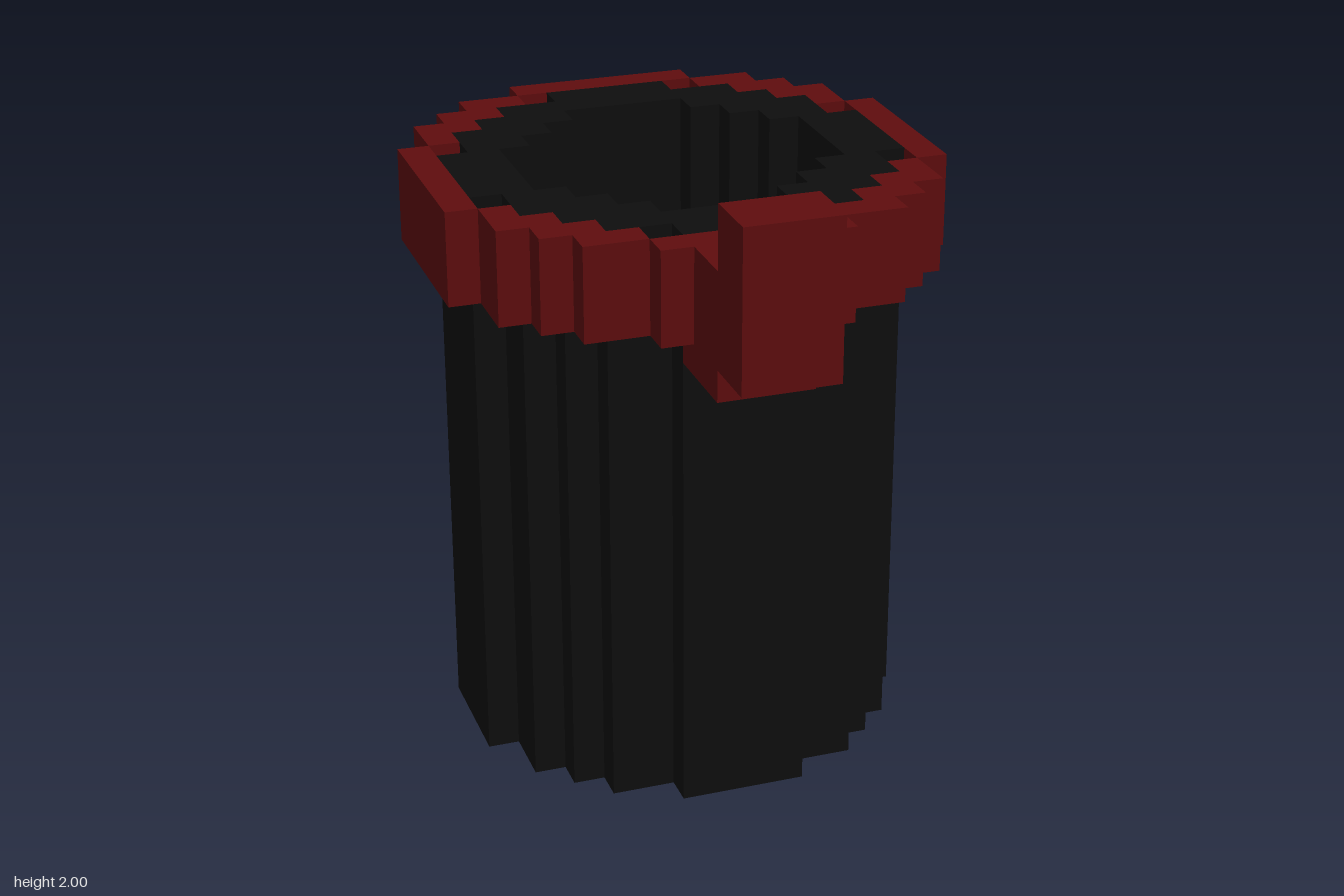
import * as THREE from 'three';

const U = 2 / 21; // one block
const CENTRE_Z = -2 * U; // axis of the tube

const black = new THREE.MeshStandardMaterial({ name: 'black', color: 0x0e0e0e });
const red = new THREE.MeshStandardMaterial({ name: 'darkRed', color: 0x5f0d0e });

// Stepped corner outlines in blocks, first quadrant, from the z side to the x side
const OUTER = [[2, 7], [2, 6], [4, 6], [4, 5], [5, 5], [5, 4], [6, 4], [6, 2], [7, 2]];
const INNER = [[2, 5], [2, 4], [3, 4], [3, 3], [4, 3], [4, 2], [5, 2]];
const RIM_CORNER = [[3, 7], [5, 7], [5, 6], [6, 6], [6, 5], [7, 5], [7, 3],
  [6, 3], [6, 4], [5, 4], [5, 5], [4, 5], [4, 6], [3, 6]];

const toPoints = (list) => list.map(([x, y]) => new THREE.Vector2(x * U, y * U));

// Mirrors a quadrant outline into a closed counter-clockwise loop
function fullLoop(quadrant) {
  const back = [...quadrant].reverse();
  return toPoints([
    ...back,
    ...quadrant.map(([x, y]) => [-x, y]),
    ...back.map(([x, y]) => [-x, -y]),
    ...quadrant.map(([x, y]) => [x, -y]),
  ]);
}

// Extrudes a plan shape upward between two heights
function prism(name, shape, y0, y1, material) {
  const geometry = new THREE.ExtrudeGeometry(shape, { depth: (y1 - y0) * U, bevelEnabled: false });
  geometry.rotateX(-Math.PI / 2);
  const mesh = new THREE.Mesh(geometry, material);
  mesh.position.set(0, y0 * U, CENTRE_Z);
  mesh.name = name;
  return mesh;
}

// Box given by its limits in blocks
function block(name, [x0, x1], [y0, y1], [z0, z1], material) {
  const mesh = new THREE.Mesh(
    new THREE.BoxGeometry((x1 - x0) * U, (y1 - y0) * U, (z1 - z0) * U), material);
  mesh.position.set((x0 + x1) * U / 2, (y0 + y1) * U / 2, (z0 + z1) * U / 2);
  mesh.name = name;
  return mesh;
}

export function createModel() {
  const model = new THREE.Group();
  model.name = 'tube';

  // Open stepped tube
  const wall = new THREE.Shape(fullLoop(OUTER));
  wall.holes.push(new THREE.Path(fullLoop(INNER)));
  model.add(prism('barrel', wall, 0, 19, black));

  // Rim: four straight bars and four stepped corners
  const rim = new THREE.Group();
  rim.name = 'rim';
  rim.add(
    block('rimFront', [-3, 3], [16, 19], [5, 6], red),
    block('rimBack', [-3, 3], [16, 19], [-10, -9], red),
    block('rimLeft', [7, 8], [16, 19], [-5, 1], red),
    block('rimRight', [-8, -7], [16, 19], [-5, 1], red),
  );
  for (const sx of [1, -1]) {
    for (const sz of [1, -1]) {
      const outline = toPoints(RIM_CORNER.map(([x, y]) => [x * sx, y * sz]));
      rim.add(prism('rimCorner', new THREE.Shape(outline), 16, 19, red));
    }
  }
  model.add(rim);

  // Sight: arm at the front with an upright post
  const sight = new THREE.Group();
  sight.name = 'frontSight';
  sight.add(
    block('sightArm', [-2, 1], [15, 19], [6, 8], red),
    block('sightArmFoot', [-2, 1], [15, 16], [5, 6], red),
    block('sightPost', [-2, 1], [16, 21], [8, 10], red),
  );
  model.add(sight);

  return model;
}
